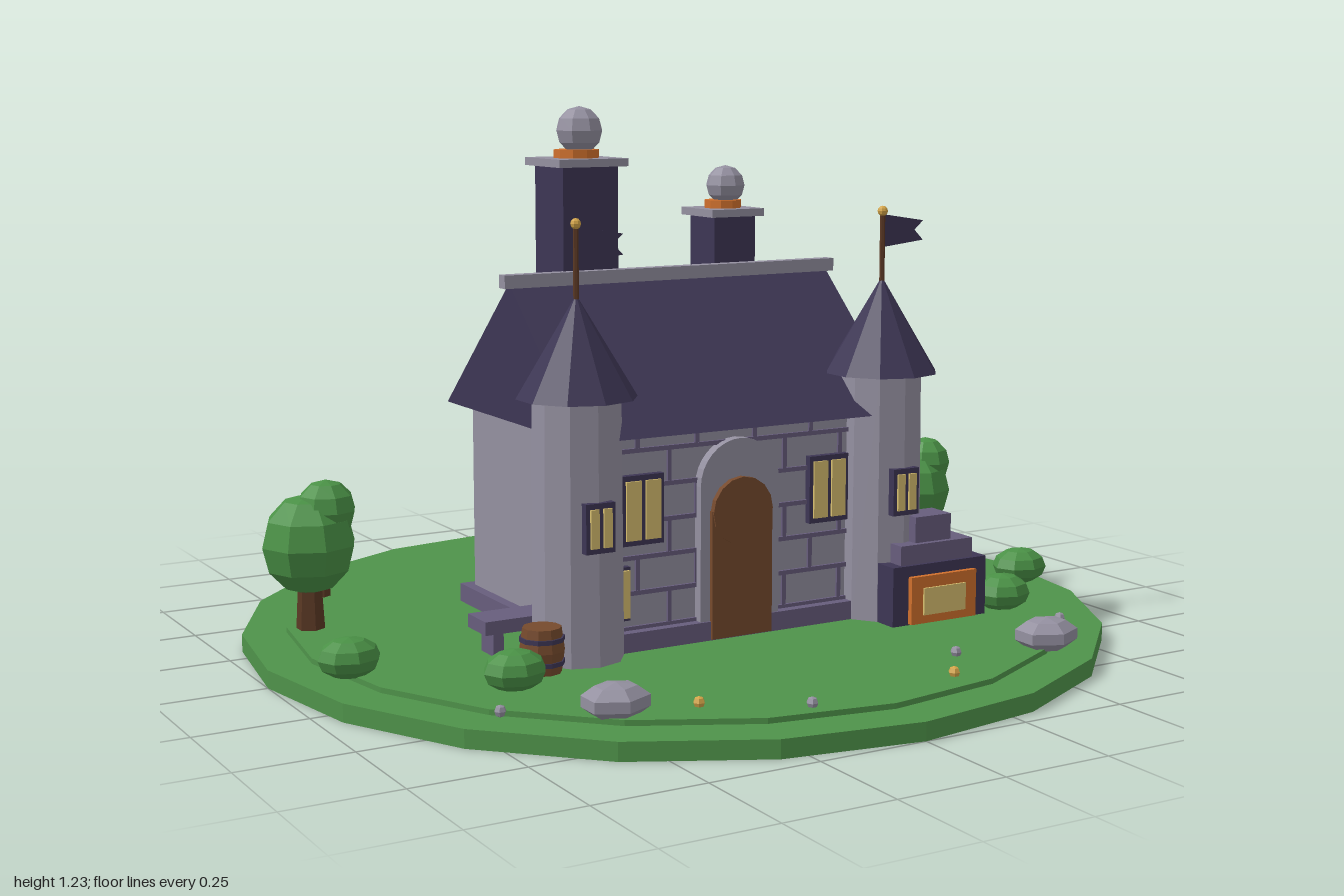
import * as THREE from 'three';

const mat = (name, color) => {
  const m = new THREE.MeshStandardMaterial({ color, flatShading: true, side: THREE.DoubleSide });
  m.name = name;
  return m;
};

export function createModel() {
  const grass = mat('grass', 0x4f934a), leaf = mat('leaf', 0x4a9146), slate = mat('slate', 0x3d3654);
  const stone = mat('stone', 0x9490a0), trim = mat('purple stone', 0x675d7c), wood = mat('wood', 0x764a2d);
  const bark = mat('bark', 0x5a3824), ember = mat('ember', 0xd0702c), glow = mat('window glow', 0xd8bf70);
  const gold = mat('gold', 0xd4a548);

  const model = new THREE.Group();
  const add = (name, geo, m, x = 0, y = 0, z = 0, parent = model) => {
    const mesh = new THREE.Mesh(geo, m);
    mesh.name = name;
    mesh.position.set(x, y, z);
    parent.add(mesh);
    return mesh;
  };
  const group = (name, x = 0, y = 0, z = 0) => {
    const g = new THREE.Group();
    g.name = name;
    g.position.set(x, y, z);
    model.add(g);
    return g;
  };
  // Box given by its lower and upper limits on each axis
  const box = (name, m, x0, x1, y0, y1, z0, z1, parent) =>
    add(name, new THREE.BoxGeometry(x1 - x0, y1 - y0, z1 - z0), m,
      (x0 + x1) / 2, (y0 + y1) / 2, (z0 + z1) / 2, parent);
  const cyl = (r0, r1, h, n) => new THREE.CylinderGeometry(r0, r1, h, n);
  const ball = (r, n = 8, k = 6) => new THREE.SphereGeometry(r, n, k);

  // Ground
  add('groundRim', cyl(1, 1, 0.04, 20), grass, 0, 0.02, 0);
  add('lawn', cyl(0.9, 0.9, 0.03, 20), grass, 0, 0.037, 0);

  // House body and roof
  box('plinth', trim, -0.41, 0.41, 0.05, 0.095, -0.305, 0.305);
  box('walls', stone, -0.385, 0.385, 0.05, 0.531, -0.275, 0.275);
  const gable = new THREE.Shape([[-0.34, 0.53], [0.34, 0.53], [0, 0.84]].map(p => new THREE.Vector2(...p)));
  const roofGeo = new THREE.ExtrudeGeometry(gable, { depth: 0.84, bevelEnabled: false });
  roofGeo.translate(0, 0, -0.42).rotateY(Math.PI / 2);
  add('roof', roofGeo, slate);
  box('ridgeCap', stone, -0.437, 0.437, 0.83, 0.86, -0.015, 0.015);

  // Mortar courses on the front and the left side, with staggered upright joints
  const mortar = group('mortar');
  for (let i = 0; i < 6; i++) {
    const y = 0.098 + i * 0.079;
    box('frontCourse', trim, -0.31, 0.31, y - 0.005, y + 0.005, 0.27, 0.282, mortar);
    box('sideCourse', trim, 0.38, 0.392, y - 0.006, y + 0.006, -0.272, 0.272, mortar);
    const top = Math.min(y + 0.079, 0.53);
    for (let x = i % 2 ? -0.25 : -0.17; x < 0.3; x += 0.15)
      box('joint', trim, x - 0.005, x + 0.005, y, top, 0.27, 0.281, mortar);
  }

  // Doorway: rounded surround, plank door and round head
  const arch = new THREE.Shape();
  arch.moveTo(-0.102, 0.29);
  arch.lineTo(0.102, 0.29);
  arch.lineTo(0.102, 0.4);
  arch.absarc(0, 0.4, 0.102, 0, Math.PI, false);
  arch.closePath();
  add('doorArch', new THREE.ExtrudeGeometry(arch, { depth: 0.035, bevelEnabled: false, curveSegments: 8 }),
    stone, 0, 0, 0.265);
  for (const s of [-1, 1])
    box('doorJamb', stone, s * 0.09 - 0.012, s * 0.09 + 0.012, 0.06, 0.29, 0.265, 0.3);
  box('door', wood, -0.078, 0.078, 0.055, 0.345, 0.27, 0.311);
  const head = add('doorHead', cyl(0.077, 0.077, 0.045, 16), wood, 0, 0.34, 0.292);
  head.rotation.x = Math.PI / 2;

  // Two-pane windows
  const makeWindow = (name, x, y, z, w, h) => {
    const g = group(name, x, y, z);
    box('frame', slate, -w / 2, w / 2, -h / 2, h / 2, -0.02, 0.012, g);
    for (const s of [-1, 1])
      add('pane', new THREE.BoxGeometry(w / 2 - 0.015, h - 0.024, 0.006), glow, s * (w / 4 - 0.002), 0, 0.014, g);
  };
  for (const s of [-1, 1]) {
    makeWindow('frontWindow', s * 0.243, 0.363, 0.28, 0.105, 0.155);
    makeWindow('towerWindow', s * 0.395, 0.355, 0.37, 0.07, 0.108);
  }
  box('lanternFrame', slate, -0.308, -0.274, 0.12, 0.24, 0.275, 0.29);
  box('lanternPane', glow, -0.302, -0.278, 0.127, 0.233, 0.289, 0.297);

  // Corner towers with pennants
  const flag = new THREE.Shape([[0.004, 0.982], [0.112, 0.965], [0.088, 0.944], [0.112, 0.92], [0.004, 0.908]]
    .map(p => new THREE.Vector2(...p)));
  for (const s of [-1, 1]) {
    const t = group(s > 0 ? 'leftTower' : 'rightTower', s * 0.395, 0, 0.275);
    add('shaft', cyl(0.097, 0.101, 0.575, 10), stone, 0, 0.3375, 0, t);
    add('spire', new THREE.ConeGeometry(0.132, 0.22, 10), slate, 0, 0.73, 0, t);
    add('pole', cyl(0.006, 0.006, 0.17, 6), bark, 0, 0.905, 0, t);
    add('finial', ball(0.012), gold, 0, 0.99, 0, t);
    add('pennant', new THREE.ExtrudeGeometry(flag, { depth: 0.006, bevelEnabled: false }), slate, 0, 0, -0.003, t);
  }

  // Chimneys: x, z, shaft width, cap width, shaft top, smoke radius
  for (const [x, z, w, c, top, r] of [
    [-0.208, -0.08, 0.14, 0.175, 1.093, 0.055],
    [0.195, -0.1, 0.112, 0.143, 0.965, 0.047]]) {
    const g = group('chimney', x, 0, z);
    box('shaft', slate, -w / 2, w / 2, 0.6, top, -w / 2, w / 2, g);
    box('cap', stone, -c / 2, c / 2, top, top + 0.018, -c / 2, c / 2, g);
    add('emberRing', cyl(r * 0.95, r * 0.95, 0.02, 10), ember, 0, top + 0.027, 0, g);
    add('smoke', ball(r), stone, 0.011, top + 0.022 + r * 1.05, -0.006, g);
  }

  // Forge
  box('forgeBase', slate, 0.337, 0.6, 0.05, 0.19, 0.295, 0.417);
  box('forgeHood', trim, 0.365, 0.567, 0.19, 0.235, 0.307, 0.407);
  box('forgeFlue', trim, 0.415, 0.515, 0.235, 0.295, 0.32, 0.393);
  box('forgeMouth', ember, 0.38, 0.563, 0.055, 0.165, 0.4, 0.43);
  box('forgeFire', glow, 0.412, 0.53, 0.075, 0.138, 0.428, 0.435);

  // Bench and barrel
  box('benchTop', trim, -0.58, -0.42, 0.105, 0.135, 0.11, 0.2);
  for (const x of [-0.555, -0.455]) box('benchLeg', trim, x, x + 0.025, 0.05, 0.105, 0.125, 0.185);
  const barrel = group('barrel', -0.515, 0.05, 0.34);
  add('staves', new THREE.LatheGeometry(
    [[0, 0], [0.042, 0], [0.049, 0.05], [0.042, 0.1], [0, 0.1]].map(p => new THREE.Vector2(...p)), 10), wood, 0, 0, 0, barrel);
  for (const y of [0.025, 0.075]) add('hoop', cyl(0.049, 0.049, 0.01, 10), slate, 0, y, 0, barrel);

  // Trees: x, z, scale
  for (const [x, z, s] of [[-0.81, -0.245, 1.1], [0.81, -0.165, 1], [0.74, -0.485, 0.88],
    [-0.68, -0.52, 0.78], [0, -0.81, 1]]) {
    const t = group('tree', x, 0.05, z);
    t.scale.setScalar(s);
    add('trunk', cyl(0.022, 0.03, 0.14, 6), bark, 0, 0.068, 0, t);
    add('crown', ball(0.1, 8, 6), leaf, 0, 0.18, 0, t).scale.y = 1.05;
    add('upperCrown', ball(0.063, 8, 6), leaf, 0.034, 0.25, 0.014, t);
  }

  // Bushes, rocks and pebbles
  for (const [x, z] of [[-0.875, 0.155], [-0.615, 0.415], [0.885, 0.19], [0.675, 0.385]])
    add('bush', ball(1), leaf, x, 0.088, z).scale.set(0.07, 0.044, 0.06);
  for (const [x, z] of [[-0.52, 0.675], [0.545, 0.705]])
    add('rock', ball(1, 6, 5).rotateY(Math.PI / 6), stone, x, 0.077, z).scale.set(0.077, 0.038, 0.063);
  for (const [x, z, m] of [[-0.355, 0.72, gold], [0.22, 0.8, gold], [-0.725, 0.575, stone],
    [-0.16, 0.835, stone], [0.32, 0.675, stone], [0.705, 0.56, stone]])
    add('pebble', ball(0.013, 6, 4), m, x, 0.06, z);

  return model;
}
